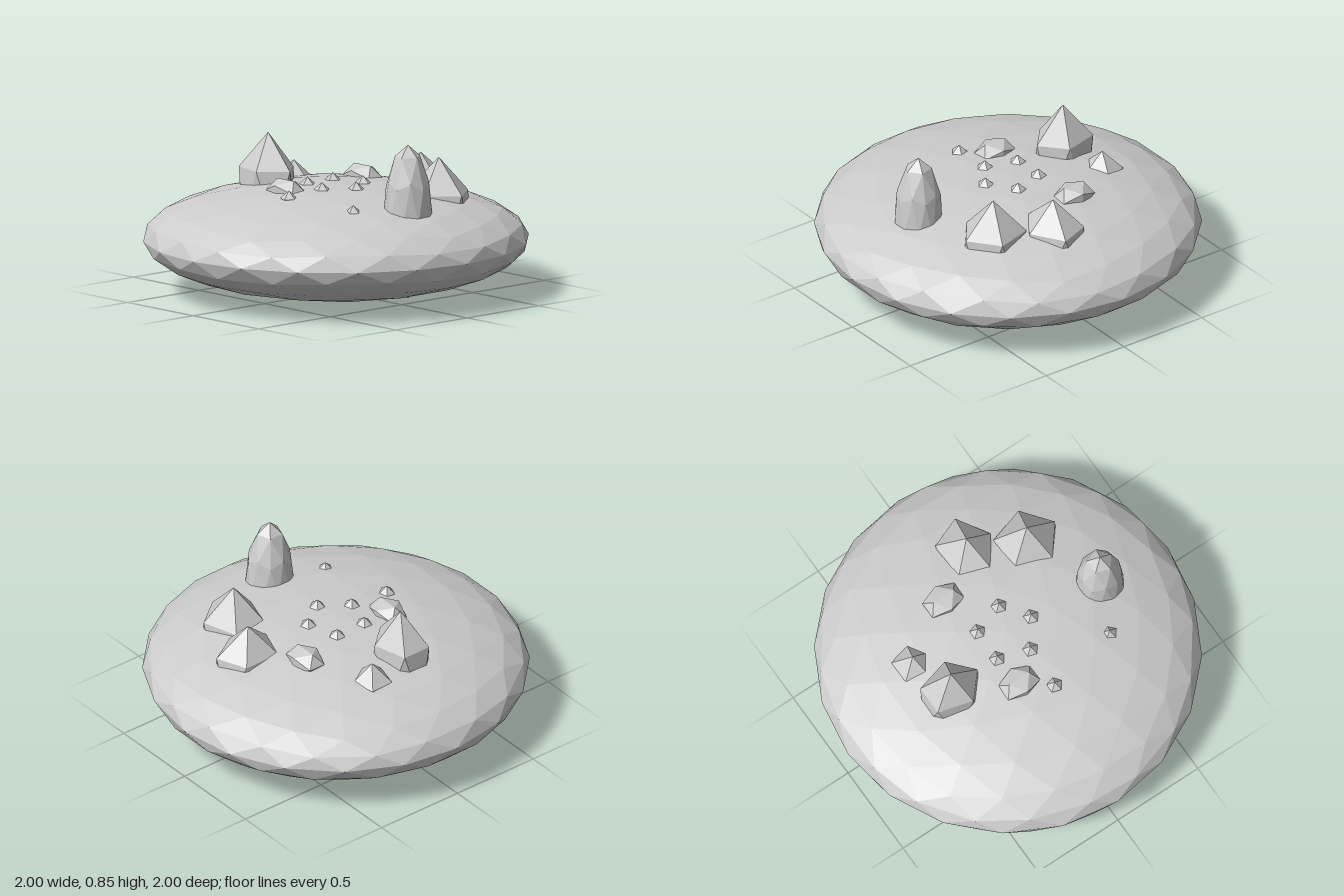
import * as THREE from 'three';

const stone = new THREE.MeshStandardMaterial({ color: 0xcccccc });
stone.name = 'light grey stone';
stone.flatShading = true;

// Faceted ball: an icosahedron with a corner (or an edge) on top, each face halved `levels` times
function facetedBall(levels, edgeUp = false) {
  const ico = new THREE.IcosahedronGeometry(1, 0);
  if (!edgeUp) ico.rotateZ(-Math.atan(2 / (1 + Math.sqrt(5))));
  const pos = ico.attributes.position;
  let corners = [];
  for (let i = 0; i < pos.count; i++) corners.push(new THREE.Vector3().fromBufferAttribute(pos, i));
  const mid = (a, b) => a.clone().add(b).normalize();
  for (let l = 0; l < levels; l++) {
    const next = [];
    for (let i = 0; i < corners.length; i += 3) {
      const [a, b, c] = corners.slice(i, i + 3);
      const ab = mid(a, b), bc = mid(b, c), ca = mid(c, a);
      next.push(a, ab, ca, ab, b, bc, ca, bc, c, ab, bc, ca);
    }
    corners = next;
  }
  return new THREE.BufferGeometry().setFromPoints(corners);
}

export function createModel() {
  const model = new THREE.Group();
  model.name = 'rockyIsland';

  // Stretch a ball to its radii, place it and add it under a name
  function add(name, geometry, [x, y, z], [rx, ry, rz]) {
    geometry.scale(rx, ry, rz).translate(x, y, z);
    geometry.computeVertexNormals();
    const mesh = new THREE.Mesh(geometry, stone);
    mesh.name = name;
    model.add(mesh);
  }

  // Flattened ground
  add('ground', facetedBall(2), [0, 0.282, 0], [1, 0.282, 1]);

  // Tall rounded tower, sunk deep into the ground
  add('tower', facetedBall(1), [0.565, 0.447, 0.015], [0.13, 0.402, 0.13]);

  // Large five-sided peaks: x, z, top, radii
  [
    [-0.42, 0.09, 0.79, 0.187, 0.34, 0.153],
    [0.375, -0.375, 0.71, 0.196, 0.33, 0.182],
    [0.09, -0.51, 0.68, 0.167, 0.28, 0.2],
    [-0.49, -0.155, 0.605, 0.12, 0.18, 0.122],
  ].forEach(([x, z, top, rx, ry, rz], i) =>
    add('peak' + (i + 1), facetedBall(0), [x, top - ry, z], [rx, ry, rz]));

  // Low rocks lying with an edge on top
  [[-0.17, -0.34, 0.6], [-0.105, 0.255, 0.605]].forEach(([x, z, top], i) =>
    add('lowRock' + (i + 1), facetedBall(0, true), [x, top - 0.06, z], [0.118, 0.07, 0.09]));

  // Small pointed stones: x, z, top
  [
    [-0.125, -0.093, 0.597],
    [0.045, -0.147, 0.597],
    [0.148, -0.005, 0.597],
    [-0.125, 0.085, 0.597],
    [0.045, 0.14, 0.597],
    [0.04, 0.367, 0.582],
    [0.44, 0.283, 0.55],
  ].forEach(([x, z, top], i) =>
    add('smallStone' + (i + 1), facetedBall(0), [x, top - 0.07, z], [0.048, 0.07, 0.046]));

  return model;
}
